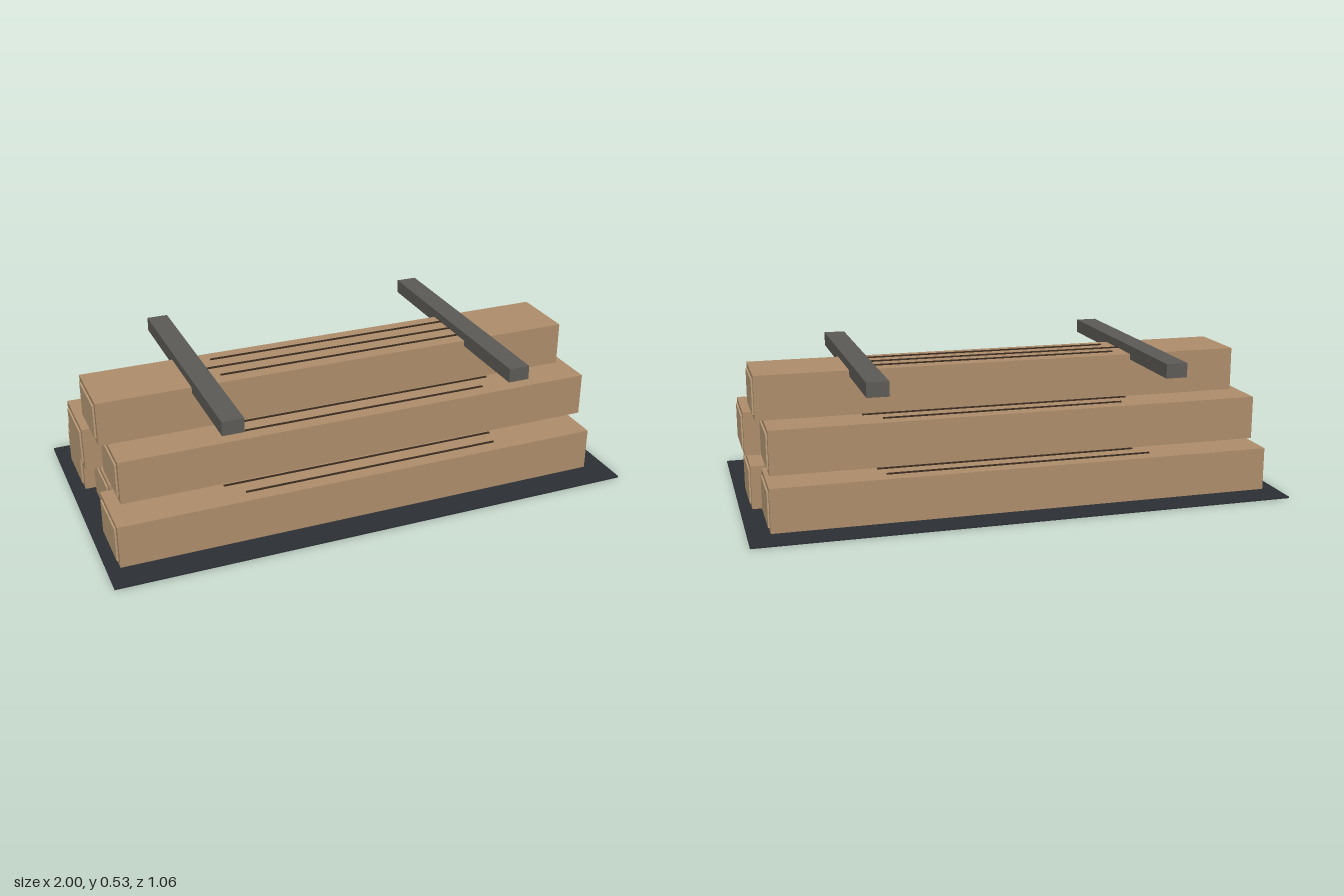
import * as THREE from 'three';

const material = (color) => new THREE.MeshStandardMaterial({ color });

function box(parent, name, size, position, mat) {
  const mesh = new THREE.Mesh(new THREE.BoxGeometry(...size), mat);
  mesh.name = name;
  mesh.position.set(...position);
  parent.add(mesh);
  return mesh;
}

export function createModel() {
  const model = new THREE.Group();
  model.name = 'timberStack';

  const wood = material(0xad8c6a);
  const endGrain = material(0xb99c78);
  const crack = material(0x3a2c20);
  const strapGrey = material(0x5c5a56);
  const matDark = material(0x2c3034);

  // Thin ground sheet
  box(model, 'groundSheet', [2, 0.006, 1.06], [0, 0.003, 0], matDark);

  const height = 0.164, width = 0.257, length = 1.868, step = 0.167;

  // Beams: row, z, x shift, and x centre and length of the three grain lines
  const beams = [
    [0, -0.287, -0.015, [[0, 1], [0.03, 0.98], [0.02, 0.96]]],
    [0, 0, 0.022, [[0.01, 1], [0.03, 1.04], [0, 0.98]]],
    [0, 0.287, -0.018, [[0, 1], [0.01, 1.08], [0.03, 1]]],
    [1, -0.143, -0.032, [[0.02, 0.92], [0.03, 1.03], [0, 1]]],
    [1, 0.143, 0.03, [[0, 1], [0.06, 1.09], [0.06, 0.98]]],
    [2, 0, -0.002, [[0.03, 0.97], [0, 1.02], [0.03, 0.98]]],
  ];

  for (const [row, z, x, lines] of beams) {
    const beam = new THREE.Group();
    beam.name = 'beam';
    beam.position.set(x, 0.003 + row * step + height / 2, z);
    box(beam, 'beamBody', [length, height + 0.002, width], [0, 0, 0], wood);

    // Raised end-grain panels
    for (const side of [-1, 1]) {
      box(beam, 'endPanel', [0.012, 0.13, 0.21], [side * length / 2, 0, 0], endGrain);
    }

    // Grain lines along the top
    lines.forEach(([cx, len], i) => {
      box(beam, 'grainLine', [len, 0.006, 0.006],
        [cx - x, height / 2 + 0.003, (i - 1) * 0.071], crack);
    });
    model.add(beam);
  }

  // Cross bars holding down the top beam
  for (const side of [-1, 1]) {
    box(model, 'crossBar', [0.08, 0.053, 0.962], [side * 0.546, 0.507, 0], strapGrey);
  }

  return model;
}
